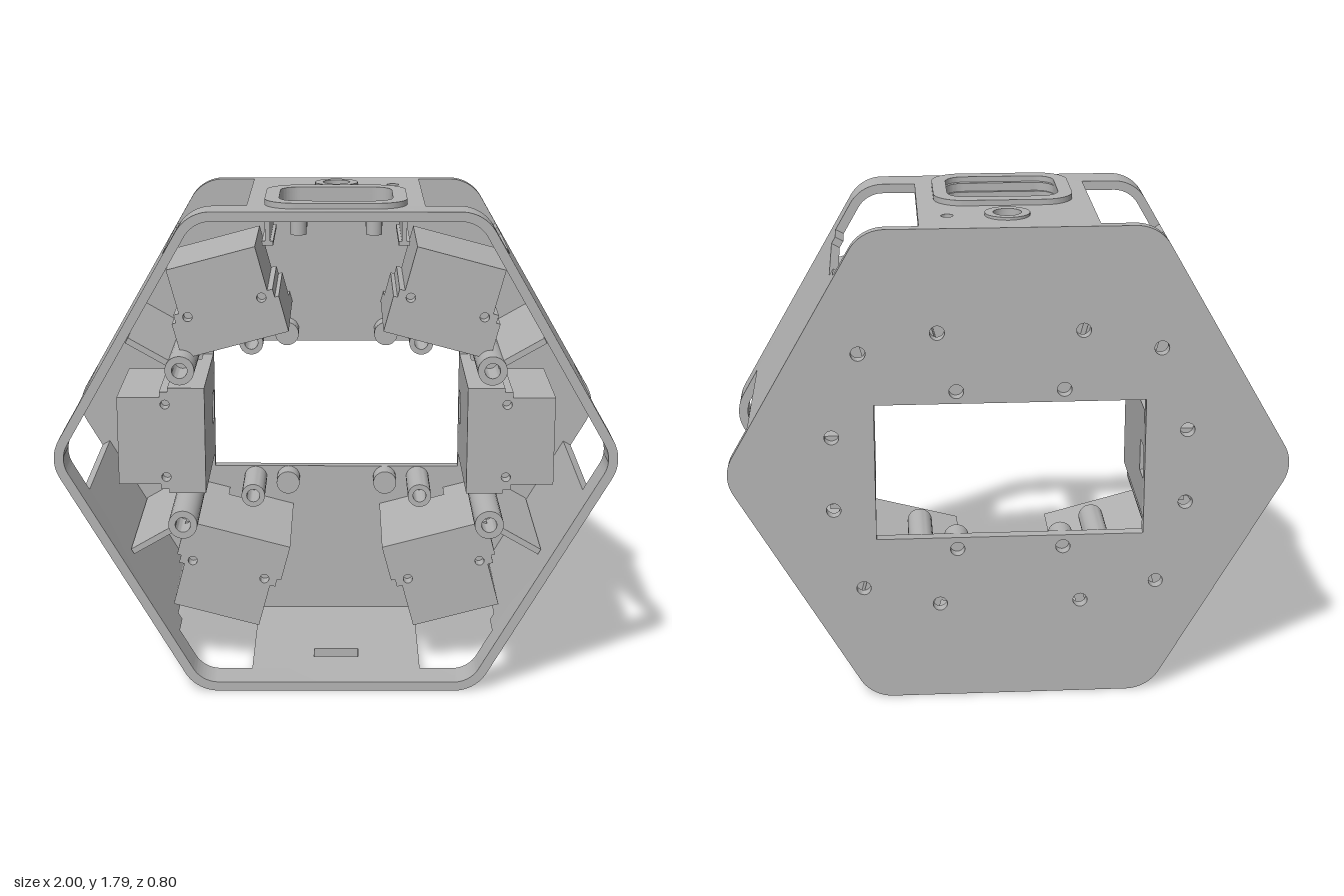
import * as THREE from 'three';
import { toCreasedNormals } from 'three/addons/utils/BufferGeometryUtils.js';

const grey = new THREE.MeshStandardMaterial({ color: 0xb4b4b4 });
grey.name = 'plain grey';

const CY = 0.885;      // centre height, also the flat-to-centre distance
const WALL = 0.034;
const CORNER = 0.14;   // outer corner radius
const BACK = -0.36;    // inner face of the back plate

function add(parent, name, geometry, x = 0, y = 0, z = 0) {
  const mesh = new THREE.Mesh(geometry, grey);
  mesh.name = name;
  mesh.position.set(x, y, z);
  parent.add(mesh);
  return mesh;
}

function extrude(shape, depth) {
  const g = new THREE.ExtrudeGeometry(shape, { depth, bevelEnabled: false, curveSegments: 12 });
  return toCreasedNormals(g, 0.6);
}

// box from min/max limits
function block(parent, name, x0, x1, y0, y1, z0, z1) {
  return add(parent, name, new THREE.BoxGeometry(x1 - x0, y1 - y0, z1 - z0),
    (x0 + x1) / 2, (y0 + y1) / 2, (z0 + z1) / 2);
}

function polygon(points) {
  return new THREE.Shape(points.map(([x, y]) => new THREE.Vector2(x, y)));
}

function circle(x, y, r, Type = THREE.Path) {
  const p = new Type();
  p.absarc(x, y, r, 0, Math.PI * 2, false);
  return p;
}

function roundRect(x0, x1, y0, y1, r, Type = THREE.Path) {
  const p = new Type();
  p.absarc(x1 - r, y1 - r, r, 0, Math.PI / 2, false);
  p.absarc(x0 + r, y1 - r, r, Math.PI / 2, Math.PI, false);
  p.absarc(x0 + r, y0 + r, r, Math.PI, Math.PI * 1.5, false);
  p.absarc(x1 - r, y0 + r, r, Math.PI * 1.5, Math.PI * 2, false);
  p.closePath();
  return p;
}

// hexagon with rounded corners, inset from the outer outline
function hexagon(inset, Type = THREE.Shape) {
  const p = new Type();
  const d = (CY - CORNER) / Math.cos(Math.PI / 6);
  for (let i = 0; i < 6; i++) {
    const t = i * Math.PI / 3;
    p.absarc(d * Math.cos(t), d * Math.sin(t), CORNER - inset, t - Math.PI / 6, t + Math.PI / 6, false);
  }
  p.closePath();
  return p;
}

// round post along z with a blind screw hole in its front end
function post(parent, name, x, y, length, r, hole) {
  const pts = [[0, 0], [r, 0], [r, length], [hole, length], [hole, length - 0.15], [0, length - 0.15]];
  const g = new THREE.LatheGeometry(pts.map(p => new THREE.Vector2(...p)), 28);
  g.rotateX(Math.PI / 2);
  add(parent, name, toCreasedNormals(g, 0.6), x, y, BACK);
}

// sensor housing: local x points outwards, the inner face is at x = 0
function housing(parent, name, x, y, angle, len) {
  const g = new THREE.Group();
  g.name = name;
  const outline = () => polygon([[0, -0.2], [0.135, -0.2], [0.135, -0.185], [0.165, -0.185], [0.165, -0.165],
    [len, -0.165], [len, 0.165], [0.165, 0.165], [0.165, 0.185], [0.135, 0.185], [0.135, 0.2], [0, 0.2]]);
  const face = outline();
  face.holes.push(circle(0.145, 0.138, 0.017), circle(0.145, -0.138, 0.017));
  add(g, 'housingFace', extrude(face, 0.05), 0, 0, 0.115);
  add(g, 'housingBody', extrude(outline(), 0.385), 0, 0, -0.27);
  for (const s of [-1, 1]) {
    const span = (a, b) => s > 0 ? [a, b] : [-b, -a];
    block(g, 'housingFoot', 0, 0.04, ...span(0.06, 0.2), BACK, -0.27);
    block(g, 'housingRail', 0.04, len - 0.03, ...span(0.065, 0.13), BACK, -0.27);
  }
  g.position.set(x, y, 0);
  g.rotation.z = angle;
  parent.add(g);
}

export function createModel() {
  const model = new THREE.Group();
  model.name = 'hexagonalEnclosure';
  const sides = [-1, 1];

  // back plate with the rectangular window and screw holes
  const plate = hexagon(0);
  plate.holes.push(roundRect(-0.48, 0.48, -0.255, 0.255, 0.002));
  for (const sx of sides) for (const sy of sides) {
    for (const [x, y] of [[0.255, 0.515], [0.53, 0.445], [0.63, 0.138], [0.19, 0.3]])
      plate.holes.push(circle(sx * x, sy * y, 0.026));
  }
  add(model, 'backPlate', extrude(plate, 0.04), 0, CY, -0.4);

  // continuous front rim
  const rim = hexagon(0);
  rim.holes.push(hexagon(WALL, THREE.Path));
  add(model, 'frontRim', extrude(rim, 0.13), 0, CY, 0.27);

  // six wall panels, stopping short of the open corners
  for (let i = 0; i < 6; i++) {
    const a = Math.PI / 6 + i * Math.PI / 3;
    const flat = i === 1 || i === 4;
    const e = flat ? 0.312 : 0.316;
    const notch = flat ? 0 : (i === 0 || i === 3 ? 1 : -1);
    const right = notch > 0 ? e - 0.028 : e, left = notch < 0 ? e - 0.028 : e;
    const panel = polygon([[-e, BACK], [e, BACK], [e, -0.27], [right, -0.27], [right, 0.16], [e, 0.16],
      [e, 0.27], [-e, 0.27], [-e, 0.16], [-left, 0.16], [-left, -0.27], [-e, -0.27]]);
    if (i === 1) panel.holes.push(roundRect(-0.2, 0.2, -0.03, 0.265, 0.07),
      circle(0, -0.22, 0.05), circle(-0.21, -0.22, 0.022));
    if (i === 4) panel.holes.push(roundRect(-0.083, 0.083, 0.08, 0.16, 0.002));
    const n = new THREE.Vector3(Math.cos(a), Math.sin(a), 0);
    const mesh = add(model, 'wallPanel', extrude(panel, WALL));
    mesh.quaternion.setFromRotationMatrix(new THREE.Matrix4().makeBasis(
      new THREE.Vector3(-n.y, n.x, 0), new THREE.Vector3(0, 0, 1), n));
    mesh.position.copy(n).multiplyScalar(CY - WALL);
    mesh.position.y += CY;
  }

  // raised trims on the top wall
  const bezel = roundRect(-0.25, 0.25, -0.34, 0.085, 0.11, THREE.Shape);
  bezel.holes.push(roundRect(-0.2, 0.2, -0.285, 0.03, 0.07));
  add(model, 'topBezel', extrude(bezel, 0.022), 0, 1.768, 0).rotation.x = -Math.PI / 2;
  const ring = circle(0, 0.22, 0.08, THREE.Shape);
  ring.holes.push(circle(0, 0.22, 0.05));
  add(model, 'buttonRing', extrude(ring, 0.012), 0, 1.768, 0).rotation.x = -Math.PI / 2;

  // frame, clips and pegs under the top wall
  const frame = roundRect(-0.265, 0.265, -0.27, 0.085, 0.01, THREE.Shape);
  frame.holes.push(roundRect(-0.2, 0.2, -0.25, 0.03, 0.06));
  add(model, 'topFrame', extrude(frame, 0.025), 0, 1.715, 0).rotation.x = -Math.PI / 2;
  for (const s of sides) {
    const c = 0.24 * s;
    block(model, 'clip', c - 0.009, c + 0.009, 1.63, 1.72, -0.08, 0.27);
    block(model, 'clipFoot', c - 0.02, c + 0.02, 1.63, 1.645, -0.08, 0.27);
    for (const z of [-0.125, -0.29])
      add(model, 'topPeg', new THREE.CylinderGeometry(0.03, 0.03, 0.15, 20), 0.14 * s, 1.675, z);
  }

  // screw posts, with ribs that tie the long ones to the slanted walls
  for (const sx of sides) for (const sy of sides) {
    post(model, 'longPost', sx * 0.56, CY + sy * 0.29, 0.625, 0.053, 0.028);
    post(model, 'shortPost', sx * 0.32, CY + sy * 0.302, 0.24, 0.045, 0.025);
    const peg = new THREE.CylinderGeometry(0.045, 0.045, 0.08, 24);
    add(model, 'locatingPeg', peg.rotateX(Math.PI / 2), sx * 0.19, CY + sy * 0.3, BACK + 0.04);
    const rib = add(model, 'postRib', new THREE.BoxGeometry(0.165, 0.022, 0.61),
      sx * 0.676, CY + sy * 0.357, BACK + 0.305);
    rib.rotation.z = sx * sy * Math.PI / 6;
  }

  // six housings, one facing each open corner
  for (const s of sides) {
    housing(model, 'sideHousing', s * 0.48, CY, s > 0 ? 0 : Math.PI, 0.32);
    for (const t of sides) {
      const a = Math.atan2(t * Math.sin(Math.PI * 75 / 180), s * Math.cos(Math.PI * 75 / 180));
      housing(model, 'cornerHousing', s * 0.364, CY + t * 0.36, a, 0.33);
    }
  }
  return model;
}
